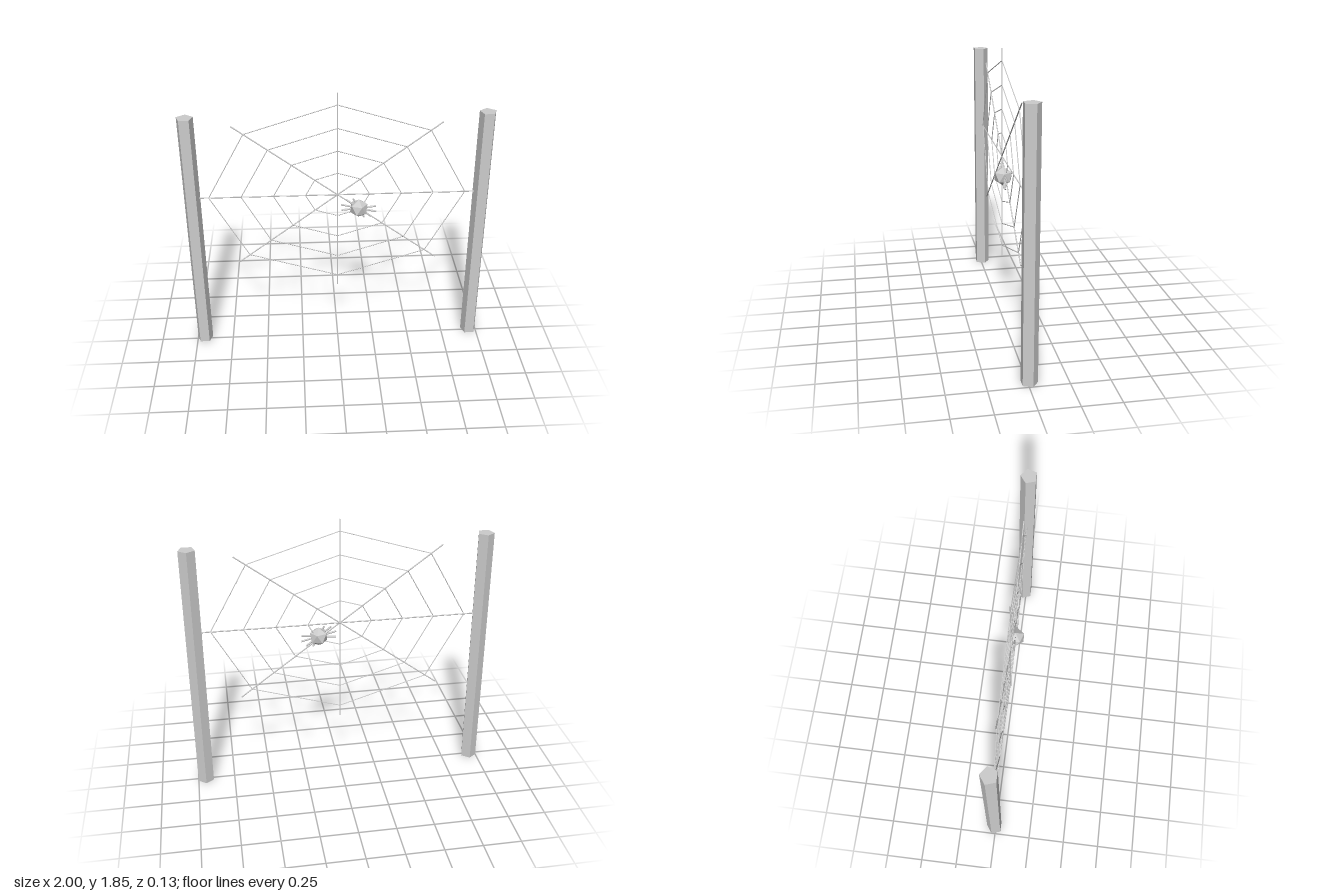
import * as THREE from 'three';

const grey = new THREE.MeshStandardMaterial({ color: 0xcccccc, flatShading: true });
grey.name = 'grey';

const WEB_Y = 1.139, WEB_Z = -0.008, WEB_RX = 0.945, WEB_RY = 0.71;

function add(parent, geometry, name) {
  const mesh = new THREE.Mesh(geometry, grey);
  mesh.name = name;
  parent.add(mesh);
  return mesh;
}

// Straight rod between two points
function rod(parent, a, b, radius, sides, name) {
  const dir = b.clone().sub(a);
  const mesh = add(parent, new THREE.CylinderGeometry(radius, radius, dir.length(), sides), name);
  mesh.position.copy(a).add(b).multiplyScalar(0.5);
  mesh.quaternion.setFromUnitVectors(new THREE.Vector3(0, 1, 0), dir.normalize());
}

// Point on the stretched web, t from 0 (hub) to 1 (spoke tip)
function webPoint(i, t) {
  const a = (i * Math.PI) / 4;
  return new THREE.Vector3(Math.cos(a) * WEB_RX * t, Math.sin(a) * WEB_RY * t, 0);
}

// Icosahedron standing on a vertex, a vertex of the upper ring towards +x
function uprightIcosahedron(radius) {
  const verts = [0, radius, 0, 0, -radius, 0];
  const h = radius / Math.sqrt(5), r = 2 * h;
  for (const [y, offset] of [[h, 0], [-h, Math.PI / 5]]) {
    for (let i = 0; i < 5; i++) {
      const a = offset + (i * 2 * Math.PI) / 5;
      verts.push(Math.cos(a) * r, y, -Math.sin(a) * r);
    }
  }
  const faces = [];
  for (let i = 0; i < 5; i++) {
    const j = (i + 1) % 5;
    const u = 2 + i, un = 2 + j, l = 7 + i, ln = 7 + j;
    faces.push(0, u, un, u, l, un, un, l, ln, 1, ln, l);
  }
  return new THREE.PolyhedronGeometry(verts, faces, radius, 0);
}

export function createModel() {
  const model = new THREE.Group();
  model.name = 'webBetweenPosts';

  // Five-sided posts, one corner pointing back
  for (const side of [-1, 1]) {
    const post = add(model, new THREE.CylinderGeometry(0.055, 0.055, 1.705, 5),
      side > 0 ? 'leftPost' : 'rightPost');
    post.rotation.y = Math.PI;
    post.position.set(side * 0.948, 0.8525, WEB_Z);
  }

  // Web: eight spokes and four octagonal rings
  const web = new THREE.Group();
  web.name = 'web';
  web.position.set(0, WEB_Y, WEB_Z);
  model.add(web);
  for (let i = 0; i < 4; i++) rod(web, webPoint(i, 1), webPoint(i + 4, 1), 0.004, 6, 'spoke');
  for (let ring = 1; ring <= 4; ring++) {
    const t = (ring * 0.21) / WEB_RX;
    for (let i = 0; i < 8; i++) rod(web, webPoint(i, t), webPoint(i + 1, t), 0.003, 5, 'ringThread');
  }

  // Spider: faceted body with legs spread flat along the web
  const spider = new THREE.Group();
  spider.name = 'spider';
  spider.position.set(0.139, 1.043, 0.008);
  model.add(spider);
  add(spider, uprightIcosahedron(0.064), 'spiderBody');
  for (const [degrees, length] of [[-62, 0.08], [-38, 0.105], [-14, 0.12], [6, 0.115]]) {
    const a = THREE.MathUtils.degToRad(degrees);
    const tip = new THREE.Vector3(Math.cos(a) * length, Math.sin(a) * length, 0);
    rod(spider, new THREE.Vector3(), tip, 0.006, 6, 'spiderLeg');
    rod(spider, new THREE.Vector3(), tip.clone().negate(), 0.006, 6, 'spiderLeg');
  }
  return model;
}
